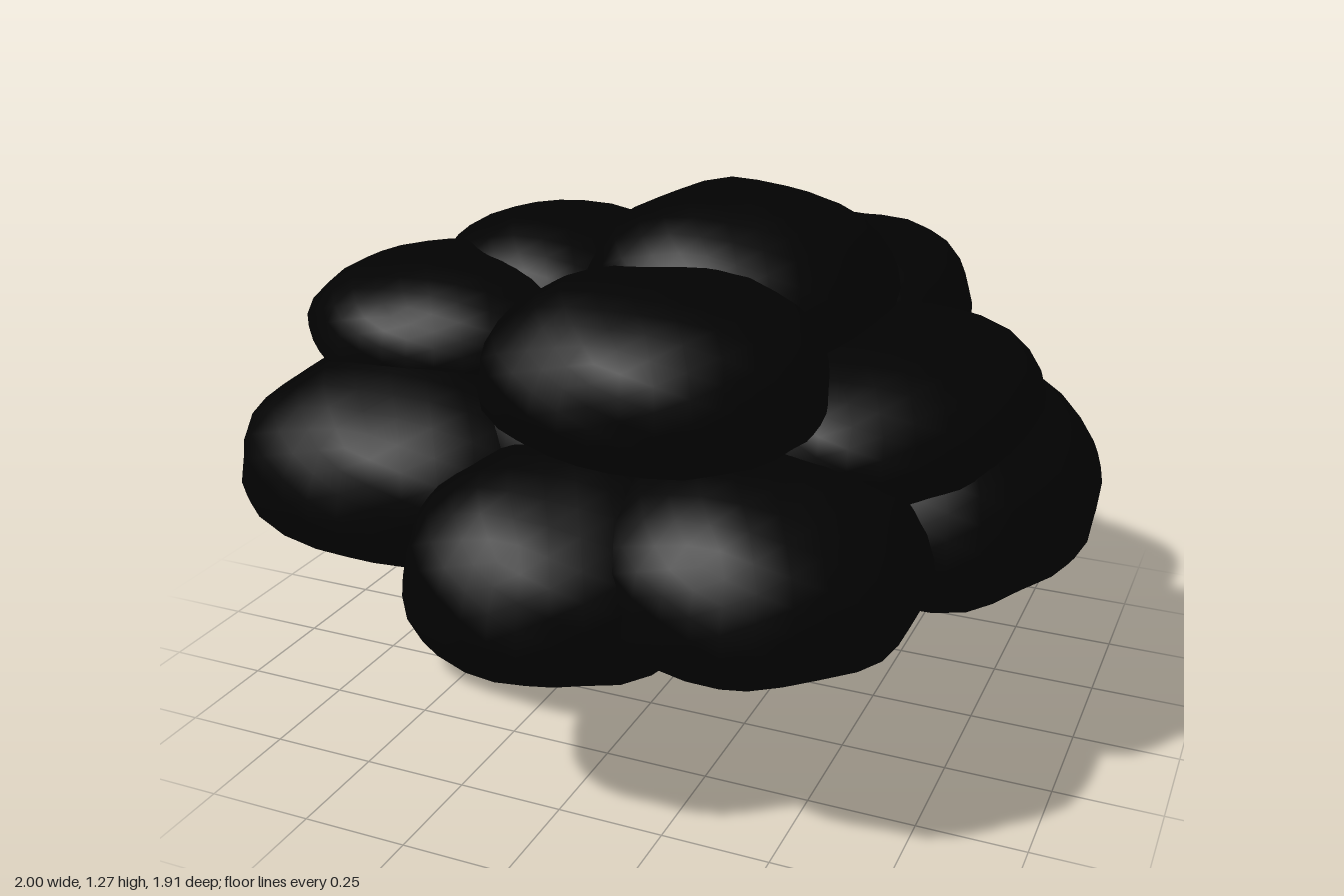
import * as THREE from 'three';
import { mergeVertices } from 'three/addons/utils/BufferGeometryUtils.js';

// Foliage clumps: name, then x, y and z ranges
const CLUMPS = [
  ['coreFoliage', -0.6, 0.6, 0.4, 1.0, -0.6, 0.6],
  ['coreUnderside', -0.38, 0.28, 0.3, 0.7, -0.36, 0.32],
  ['lowerLeafClumpRight', -1.0, -0.3, 0.4, 0.79, -0.34, 0.25],
  ['lowerLeafClumpFrontRight', -0.98, -0.1, 0.39, 0.89, -0.04, 0.74],
  ['lowerLeafClumpFront', -0.41, 0.32, 0.29, 0.8, 0.14, 0.95],
  ['lowerLeafClumpFrontLeft', -0.01, 0.75, 0.36, 0.83, 0.1, 0.89],
  ['lowerLeafClumpLeft', 0.27, 1.0, 0.37, 0.87, -0.47, 0.45],
  ['lowerLeafClumpBackLeft', -0.2, 0.55, 0.37, 0.88, -0.95, -0.27],
  ['lowerLeafClumpBack', -0.46, 0.22, 0.37, 0.88, -0.89, -0.2],
  ['lowerLeafClumpBackRight', -0.82, -0.12, 0.37, 0.86, -0.72, 0.0],
  ['upperLeafClumpBackRight', -0.76, -0.05, 0.7, 1.13, -0.5, 0.22],
  ['upperLeafClumpRight', -0.93, -0.22, 0.74, 1.07, -0.22, 0.47],
  ['upperLeafClumpLeft', 0.12, 0.87, 0.62, 1.0, -0.42, 0.5],
  ['upperLeafClumpFront', -0.28, 0.5, 0.76, 1.17, 0.1, 0.79],
  ['upperLeafClumpBack', -0.08, 0.6, 0.72, 1.13, -0.66, -0.05],
  ['crownLeafClump', -0.21, 0.5, 0.84, 1.27, -0.34, 0.4],
];

// Rounded, slightly boxy and lumpy ball stretched to fill its ranges
function clumpGeometry([, x0, x1, y0, y1, z0, z1], seed) {
  let geo = new THREE.IcosahedronGeometry(1, 5);
  geo.deleteAttribute('uv');
  geo.deleteAttribute('normal');
  geo = mergeVertices(geo, 1e-4);
  const pos = geo.attributes.position;
  const v = new THREE.Vector3();
  const p = 2.2;
  for (let i = 0; i < pos.count; i++) {
    v.fromBufferAttribute(pos, i);
    const boxy = Math.pow(
      Math.abs(v.x) ** p + Math.abs(v.y) ** p + Math.abs(v.z) ** p, -1 / p);
    const lump = 0.99 + 0.025 * Math.sin(5 * v.x + seed) * Math.sin(6 * v.z + 2 * seed)
      + 0.015 * Math.sin(9 * v.y + 7 * v.x + 3 * seed);
    v.multiplyScalar(boxy * lump);
    // widest below the middle, so the underside is flatter than the top
    const mid = y0 + (y1 - y0) * 0.44;
    pos.setXYZ(i,
      (x0 + x1) / 2 + v.x * (x1 - x0) / 2,
      mid + v.y * (v.y > 0 ? y1 - mid : mid - y0),
      (z0 + z1) / 2 + v.z * (z1 - z0) / 2);
  }
  geo.computeVertexNormals();
  return geo;
}

// Tapered limb between two points
function limb(name, from, to, rFrom, rTo, material) {
  const a = new THREE.Vector3(...from);
  const b = new THREE.Vector3(...to);
  const mesh = new THREE.Mesh(
    new THREE.CylinderGeometry(rTo, rFrom, a.distanceTo(b), 10), material);
  mesh.position.copy(a).lerp(b, 0.5);
  mesh.quaternion.setFromUnitVectors(new THREE.Vector3(0, 1, 0), b.sub(a).normalize());
  mesh.name = name;
  return mesh;
}

export function createModel() {
  const tree = new THREE.Group();
  tree.name = 'tree';
  const material = new THREE.MeshStandardMaterial({ color: 0x020202 });

  // Foliage
  const foliage = new THREE.Group();
  foliage.name = 'foliage';
  CLUMPS.forEach((clump, i) => {
    const mesh = new THREE.Mesh(clumpGeometry(clump, i * 1.7), material);
    mesh.name = clump[0];
    foliage.add(mesh);
  });

  // Trunk that forks into branches
  const trunk = new THREE.Group();
  trunk.name = 'trunk';
  trunk.add(
    limb('trunkBase', [-0.055, 0, 0], [-0.06, 0.2, 0.01], 0.046, 0.06, material),
    limb('branchRight', [-0.07, 0.04, 0.01], [-0.22, 0.5, 0.06], 0.035, 0.045, material),
    limb('branchLeft', [-0.05, 0.04, -0.01], [0.07, 0.5, -0.05], 0.035, 0.045, material),
    limb('branchFront', [-0.06, 0.04, 0.01], [-0.08, 0.5, 0.19], 0.035, 0.045, material));

  tree.add(foliage, trunk);
  return tree;
}
